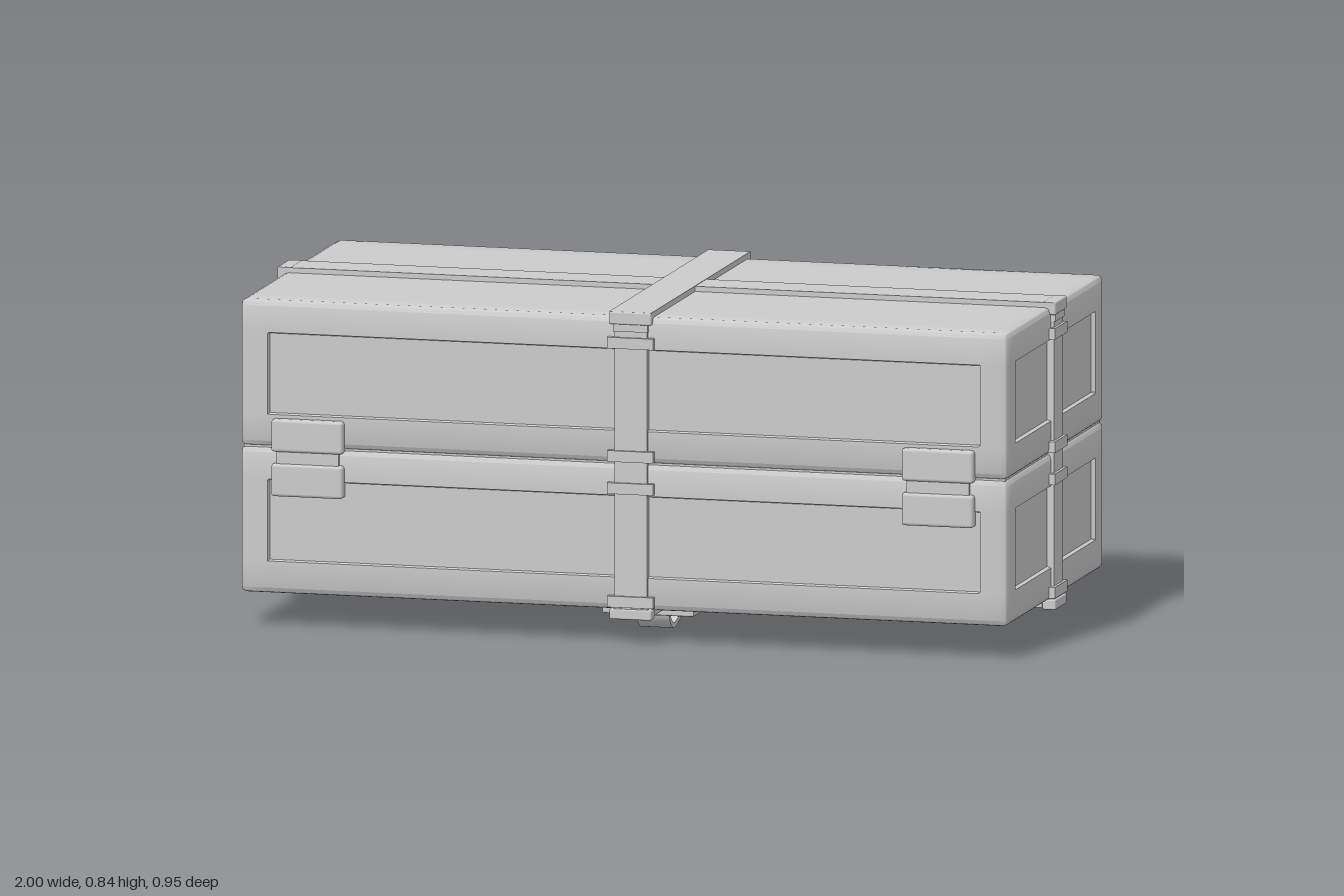
import * as THREE from 'three';
import { toCreasedNormals } from 'three/addons/utils/BufferGeometryUtils.js';
import { RoundedBoxGeometry } from 'three/addons/geometries/RoundedBoxGeometry.js';

const mat = new THREE.MeshStandardMaterial({ color: 0xcccccc });

function add(parent, name, geometry, x = 0, y = 0, z = 0) {
  const mesh = new THREE.Mesh(geometry, mat);
  mesh.name = name;
  mesh.position.set(x, y, z);
  parent.add(mesh);
  return mesh;
}

// Box given by its limits, softly rounded when r > 0
function block(parent, name, x0, x1, y0, y1, z0, z1, r = 0) {
  const s = [x1 - x0, y1 - y0, z1 - z0];
  const geo = r ? new RoundedBoxGeometry(...s, 2, r) : new THREE.BoxGeometry(...s);
  return add(parent, name, geo, (x0 + x1) / 2, (y0 + y1) / 2, (z0 + z1) / 2);
}

// Rounded box whose four side faces have a sunken rectangular panel
function panelledBox(half, panel, r, depth) {
  const N = 9;
  const geo = new THREE.BoxGeometry(1, 1, 1, N, N, N);
  const pos = geo.attributes.position;
  const grid = half.map((h, a) => {
    const side = [h, h - r * 0.3, h - r, panel[a], panel[a] - 0.003];
    return [...side.map(v => -v), ...side.slice().reverse()];
  });
  for (let i = 0; i < pos.count; i++) {
    const idx = [pos.getX(i), pos.getY(i), pos.getZ(i)].map(v => Math.round((v + 0.5) * N));
    const p = new THREE.Vector3(...idx.map((k, a) => grid[a][k]));
    const inner = new THREE.Vector3(...half).subScalar(r);
    const core = p.clone().clamp(inner.clone().negate(), inner);
    p.sub(core).setLength(r).add(core);
    const sunk = k => k >= 4 && k <= 5;
    for (const [a, b] of [[0, 2], [2, 0]]) {
      if ((idx[a] === 0 || idx[a] === N) && sunk(idx[1]) && sunk(idx[b])) {
        p.setComponent(a, p.getComponent(a) - Math.sign(p.getComponent(a)) * depth);
      }
    }
    pos.setXYZ(i, p.x, p.y, p.z);
  }
  return toCreasedNormals(geo, 0.6);
}

// Vertical strap with loops and corner caps; local z = 0 is the body face
function sideStrap(name) {
  const g = new THREE.Group();
  g.name = name;
  block(g, 'strapBand', -0.042, 0.042, 0.07, 0.82, -0.01, 0.008);
  for (const y of [0.105, 0.39, 0.471, 0.756]) {
    block(g, 'strapLoop', -0.059, 0.059, y - 0.014, y + 0.014, -0.01, 0.015);
  }
  block(g, 'topCap', -0.054, 0.054, 0.803, 0.835, -0.02, 0.015, 0.004);
  block(g, 'topCapLip', -0.044, 0.044, 0.785, 0.805, -0.01, 0.012);
  block(g, 'bottomCap', -0.054, 0.054, 0.061, 0.087, -0.02, 0.015, 0.004);
  return g;
}

// Curved strap end: ribbon of constant thickness along a path, local x runs along the strap
function ribbon(points, thickness, width) {
  const path = new THREE.SplineCurve(points.map(p => new THREE.Vector2(...p)));
  const upper = [], lower = [];
  for (let i = 0; i <= 24; i++) {
    const p = path.getPoint(i / 24), t = path.getTangent(i / 24);
    const n = new THREE.Vector2(-t.y, t.x).multiplyScalar(thickness / 2);
    upper.push(p.clone().add(n));
    lower.push(p.clone().sub(n));
  }
  const shape = new THREE.Shape([...lower, ...upper.reverse()]);
  const geo = new THREE.ExtrudeGeometry(shape, { depth: width, bevelEnabled: false });
  geo.translate(0, 0, -width / 2);
  return toCreasedNormals(geo, 0.6);
}

// Open buckle frame with a loose strap end; local -x is the outer end of the strap
function buckle(name) {
  const g = new THREE.Group();
  g.name = name;
  const w = 0.062, l = 0.117;
  const shape = new THREE.Shape([[-w, -l], [w, -l], [w, l], [-w, l]].map(p => new THREE.Vector2(...p)));
  const hole = [[-0.034, -0.062], [-0.034, 0.062], [0.036, 0.062], [0.036, -0.062]];
  shape.holes.push(new THREE.Path(hole.map(p => new THREE.Vector2(...p))));
  const geo = new THREE.ExtrudeGeometry(shape, {
    depth: 0.03, bevelSize: 0.004, bevelOffset: -0.004, bevelThickness: 0.004, bevelSegments: 2,
  });
  geo.rotateX(Math.PI / 2);
  add(g, 'buckleFrame', geo, 0, 0.08, 0);
  const tail = [[-0.015, 0.065], [-0.006, 0.032], [0.018, 0.011], [0.045, 0.008], [0.1, 0.024], [0.165, 0.044]];
  add(g, 'strapTail', ribbon(tail, 0.013, 0.084));
  return g;
}

export function createModel() {
  const model = new THREE.Group();
  model.name = 'strappedCase';

  // Lower and upper halves of the case
  const shell = panelledBox([0.985, 0.184, 0.455], [0.915, 0.103, 0.378], 0.014, 0.01);
  add(model, 'caseBase', shell, 0, 0.268, 0);
  add(model, 'caseLid', shell, 0, 0.637, 0);
  block(model, 'seamFiller', -0.978, 0.978, 0.43, 0.475, -0.448, 0.448);

  // Straps on the four sides
  const X = 0.02;
  const sides = [
    ['frontStrap', X, 0.455, 0], ['backStrap', X, -0.457, Math.PI],
    ['leftStrap', 0.985, 0, Math.PI / 2], ['rightStrap', -0.985, 0, -Math.PI / 2],
  ];
  for (const [name, x, z, turn] of sides) {
    const strap = sideStrap(name);
    strap.position.set(x, 0, z);
    strap.rotation.y = turn;
    model.add(strap);
  }

  // Crossing straps over the lid and under the base
  block(model, 'topLongStrap', -0.995, 0.995, 0.81, 0.834, -0.054, 0.054);
  block(model, 'topCrossStrap', X - 0.054, X + 0.054, 0.81, 0.835, -0.468, 0.466);
  block(model, 'bottomLongStrap', -0.995, 0.995, 0.064, 0.09, -0.044, 0.044);
  block(model, 'bottomCrossStrap', X - 0.044, X + 0.044, 0.063, 0.09, -0.468, 0.466);

  // Buckles under the base, one on each strap
  const crossBuckle = buckle('crossBuckle');
  crossBuckle.position.set(X, -0.001, 0.238);
  crossBuckle.rotation.y = Math.PI / 2;
  const longBuckle = buckle('longBuckle');
  longBuckle.position.set(-0.295, 0.011, 0);
  longBuckle.scale.y = 0.9;
  model.add(crossBuckle, longBuckle);

  // Pair of two-piece latches on the front
  for (const s of [-1, 1]) {
    const latch = new THREE.Group();
    latch.name = s > 0 ? 'leftLatch' : 'rightLatch';
    latch.position.x = s * 0.81;
    block(latch, 'latchUpper', -0.092, 0.092, 0.443, 0.525, 0.44, 0.475, 0.008);
    block(latch, 'latchLower', -0.092, 0.092, 0.331, 0.413, 0.44, 0.475, 0.008);
    block(latch, 'latchHinge', -0.08, 0.08, 0.405, 0.45, 0.44, 0.467);
    model.add(latch);
  }
  return model;
}
